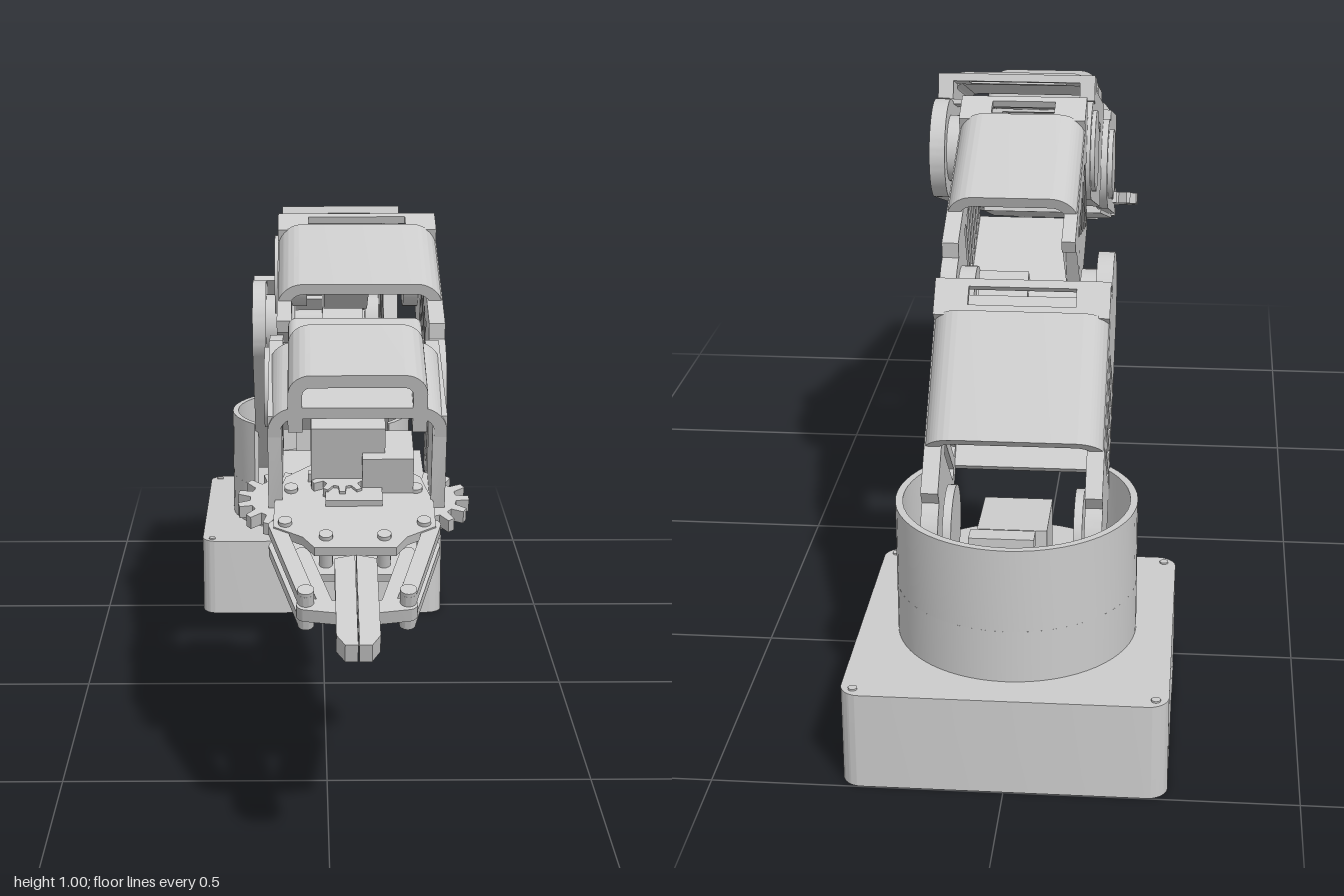
import * as THREE from 'three';
import { toCreasedNormals } from 'three/addons/utils/BufferGeometryUtils.js';
import { RoundedBoxGeometry } from 'three/addons/geometries/RoundedBoxGeometry.js';

const grey = new THREE.MeshStandardMaterial({ color: 0xcccccc, side: THREE.DoubleSide });
const PI = Math.PI, R = 0.097, L = 0.43;

function add(parent, name, geo, x = 0, y = 0, z = 0) {
  const m = new THREE.Mesh(geo, grey);
  m.name = name;
  m.position.set(x, y, z);
  parent.add(m);
  return m;
}
// box given by its bounds
const box = (p, name, x0, x1, y0, y1, z0, z1) => add(p, name,
  new THREE.BoxGeometry(x1 - x0, y1 - y0, z1 - z0), (x0 + x1) / 2, (y0 + y1) / 2, (z0 + z1) / 2);
// disc whose axis runs along x
const disc = (p, name, r, x0, x1, y, z) => add(p, name,
  new THREE.CylinderGeometry(r, r, x1 - x0, 40).rotateZ(PI / 2), (x0 + x1) / 2, y, z);
const poly = pts => new THREE.Shape(pts.map(q => new THREE.Vector2(...q)));
const hole = (x0, x1, y0, y1) => poly([[x0, y0], [x0, y1], [x1, y1], [x1, y0]]);
const extrude = (shape, depth) => toCreasedNormals(
  new THREE.ExtrudeGeometry(shape, { depth, bevelEnabled: false, curveSegments: 20 }), 0.5);
// side plate: shape in (z, y), thickness along x from x0 to x1
const side = (p, name, shape, x0, x1) =>
  add(p, name, extrude(shape, x1 - x0).rotateY(-PI / 2), x1);
// flat plate: shape in (x, z), thickness along y from y0 to y1
const flat = (p, name, shape, y0, y1) =>
  add(p, name, extrude(shape, y1 - y0).rotateX(PI / 2), 0, y1);

// arch profile in (x, y) with rounded upper corners
function arch(x0, x1, y0, y1, t, r) {
  const s = new THREE.Shape(), i = r - t;
  s.moveTo(x1, y0);
  s.lineTo(x1, y1 - r);
  s.absarc(x1 - r, y1 - r, r, 0, PI / 2, false);
  s.absarc(x0 + r, y1 - r, r, PI / 2, PI, false);
  s.lineTo(x0, y0);
  s.lineTo(x0 + t, y0);
  s.absarc(x0 + r, y1 - r, i, PI, PI / 2, true);
  s.absarc(x1 - r, y1 - r, i, PI / 2, 0, true);
  s.lineTo(x1 - t, y0);
  return s;
}

// side wall from the closed joint (z = 0) to the open joint (z = L), round where it carries a joint
function wallShape(roundA, roundB) {
  const s = new THREE.Shape();
  s.moveTo(0.03, 0.125);
  if (roundA) {
    s.lineTo(0.03, 0.092);
    s.absarc(0, 0, R, 1.26, PI * 1.5, false);
  } else [[0.03, 0.1], [0.11, 0.03], [0.11, -R]].forEach(q => s.lineTo(...q));
  if (roundB) {
    s.lineTo(L, -R);
    s.absarc(L, 0, R, -PI / 2, 1.7, false);
    s.lineTo(L - 0.02, 0.125);
  } else [[L - 0.11, -R], [L - 0.11, 0.03], [L - 0.03, 0.1], [L - 0.03, 0.125]].forEach(q => s.lineTo(...q));
  for (let i = 0; i < 5; i++) {
    const u = 0.225 + (i - 2) * 0.043;
    s.holes.push(hole(u - 0.011, u + 0.011, -0.07, 0.075));
  }
  return s;
}

// one arm link: two slotted walls, rounded cover, recessed slot and bottom plate
function armLink(name, joint, pitch, flip, wallA, wallB) {
  const g = new THREE.Group();
  g.name = name;
  g.position.set(0, ...joint);
  g.rotation.set(-pitch, flip ? PI : 0, 0);
  const walls = [wallA, wallB].map(([x0, x1, a, b]) => (flip ? [-x1, -x0, a, b] : [x0, x1, a, b]));
  walls.forEach(([x0, x1, a, b]) => side(g, 'sideWall', wallShape(a, b), x0, x1));
  const x0 = Math.min(walls[0][0], walls[1][0]), x1 = Math.max(walls[0][1], walls[1][1]);
  add(g, 'cover', extrude(arch(x0, x1, 0.08, 0.16, 0.022, 0.05), 0.24), 0, 0, 0.085);
  const lip = poly([[x0 + 0.03, 0.02], [x1 - 0.03, 0.02], [x1 - 0.03, 0.09], [x0 + 0.03, 0.09]]);
  lip.holes.push(hole(x0 + 0.06, x1 - 0.06, 0.035, 0.07));
  flat(g, 'slottedLip', lip, 0.135, 0.15);
  box(g, 'slotFloor', x0 + 0.03, x1 - 0.03, 0.09, 0.1, 0.03, 0.1);
  [x0, x1 - 0.03].forEach(x => box(g, 'coverEar', x, x + 0.03, 0.1, 0.15, 0.02, 0.09));
  box(g, 'bottomPlate', x0 + 0.02, x1 - 0.02, -R, -0.08, 0.11, 0.29);
  return g;
}

function gear(r, teeth) {
  const pts = [];
  for (let i = 0; i < teeth; i++) {
    [[-0.3, 0.72], [-0.16, 1], [0.16, 1], [0.3, 0.72]].forEach(([o, k]) => {
      const a = (i + o) / teeth * 2 * PI;
      pts.push([Math.cos(a) * r * k, Math.sin(a) * r * k]);
    });
  }
  return poly(pts);
}

// flat bar with round ends between two points in (x, z)
function bar(p, name, a, b, w, y0, y1) {
  const s = new THREE.Shape(), t = Math.atan2(b[1] - a[1], b[0] - a[0]);
  s.absarc(b[0], b[1], w, t - PI / 2, t + PI / 2, false);
  s.absarc(a[0], a[1], w, t + PI / 2, t + PI * 1.5, false);
  return flat(p, name, s, y0, y1);
}

function wrist(joint, pitch) {
  const g = new THREE.Group();
  g.name = 'wrist';
  g.position.set(0, ...joint);
  g.rotation.x = -pitch;
  // side walls: the right one wraps the joint, the left one starts past it
  [[-0.105, -0.08, true], [0.18, 0.205, false]].forEach(([x0, x1, round]) => {
    const s = new THREE.Shape();
    s.moveTo(0.3, 0.13);
    s.lineTo(0.03, 0.12);
    if (round) s.absarc(0, 0, R, 1.3, PI * 1.5, false);
    else { s.lineTo(0.03, 0.1); s.lineTo(0.1, 0.03); s.lineTo(0.1, -R); }
    s.lineTo(0.32, -R);
    s.lineTo(0.32, -0.03);
    [0.14, 0.19].forEach(u => s.holes.push(hole(u - 0.012, u + 0.012, -0.07, 0.075)));
    side(g, 'wristWall', s, x0, x1);
  });
  disc(g, 'jointCap', 0.075, -0.115, -0.1, 0, 0);
  add(g, 'wristCover', extrude(arch(-0.105, 0.205, 0.08, 0.15, 0.022, 0.05), 0.22), 0, 0, 0.085);
  add(g, 'hood', extrude(arch(-0.07, 0.17, 0.1, 0.215, 0.025, 0.04), 0.17), 0, 0, 0.135);
  box(g, 'hoodBack', -0.05, 0.15, 0.12, 0.2, 0.135, 0.15);
  add(g, 'rearHump', new RoundedBoxGeometry(0.24, 0.06, 0.09, 3, 0.015), 0.05, 0.155, 0.095);
  box(g, 'gripperServo', -0.03, 0.1, -0.05, 0.09, 0.2, 0.28);
  box(g, 'servoMount', 0.06, 0.15, -0.05, 0.04, 0.21, 0.3);

  // gripper plates, built symmetric about its own centre line
  const h = new THREE.Group();
  h.name = 'gripper';
  h.position.x = 0.045;
  g.add(h);
  const half = [[0.06, 0.2], [0.12, 0.25], [0.14, 0.33], [0.14, 0.4], [0.09, 0.43], [0.07, 0.46]];
  const outline = poly([...half, ...half.map(([x, z]) => [-x, z]).reverse()]);
  flat(h, 'topPlate', outline, -0.05, -0.032);
  flat(h, 'bottomPlate', poly([[-0.13, 0.08], [0.13, 0.08], [0.14, 0.4], [0.07, 0.46], [-0.07, 0.46], [-0.14, 0.4]]), -0.105, -0.09);
  const drive = flat(h, 'driveGear', gear(0.06, 12), -0.032, -0.015);
  drive.position.set(-0.02, -0.015, 0.26);
  box(h, 'servoHorn', -0.05, 0.05, -0.032, -0.02, 0.3, 0.34);
  [-1, 1].forEach(m => {
    flat(h, 'fingerGear', gear(0.08, 13), -0.075, -0.05).position.set(m * 0.125, -0.05, 0.29);
    bar(h, 'outerLink', [m * 0.135, 0.39], [m * 0.085, 0.58], 0.014, -0.055, -0.035);
    bar(h, 'outerLinkLower', [m * 0.135, 0.39], [m * 0.085, 0.58], 0.014, -0.1, -0.08);
    bar(h, 'innerLink', [m * 0.09, 0.44], [m * 0.05, 0.59], 0.012, -0.08, -0.055);
    bar(h, 'fingerBracket', [m * 0.085, 0.585], [m * 0.02, 0.595], 0.016, -0.08, -0.055);
    add(h, 'linkPin', new THREE.CylinderGeometry(0.014, 0.014, 0.075, 16), m * 0.085, -0.066, 0.58);
    flat(h, 'finger', poly([[m * 0.001, 0.47], [m * 0.036, 0.48], [m * 0.036, 0.685], [m * 0.022, 0.71], [m * 0.001, 0.71]]), -0.075, -0.04);
    [[0.11, 0.29], [0.12, 0.39], [0.05, 0.43], [0.06, 0.23]].forEach(([x, z]) =>
      add(h, 'screw', new THREE.CylinderGeometry(0.012, 0.012, 0.075, 16), m * x, -0.062, z));
  });
  return g;
}

export function createModel() {
  const root = new THREE.Group();
  root.name = 'robotArm';
  const d = PI / 180, p1 = 47.5 * d, p2 = 25 * d, p3 = -19 * d;
  const step = ([y, z], p, s) => [y + s * L * Math.sin(p), z + s * L * Math.cos(p)];
  const elbow = [0.868, -0.065];
  const hand = step(elbow, p3, 1), knee = step(elbow, p2, -1), hip = step(knee, p1, -1);

  // base
  const c = -0.722, b = 0.277, r = 0.035, plan = new THREE.Shape();
  [[1, 1], [-1, 1], [-1, -1], [1, -1]].forEach(([x, z], i) =>
    plan.absarc(x * (b - r), z * (b - r), r, i * PI / 2, (i + 1) * PI / 2, false));
  flat(root, 'base', plan, 0, 0.175).position.z = c;
  box(root, 'port', -0.279, -0.27, 0.06, 0.09, c - 0.03, c + 0.03);
  [-1, 1].forEach(x => [-1, 1].forEach(z =>
    add(root, 'baseScrew', new THREE.CylinderGeometry(0.008, 0.008, 0.004, 12), x * 0.255, 0.176, c + z * 0.255)));

  // turret with a wall left open at the front
  add(root, 'turretFloor', new THREE.CylinderGeometry(0.212, 0.212, 0.095, 64), 0, 0.2225, c);
  const ring = new THREE.Shape();
  ring.absarc(0, 0, 0.212, 138 * d, 402 * d, false);
  ring.absarc(0, 0, 0.199, 402 * d, 138 * d, true);
  flat(root, 'turretWall', ring, 0.27, 0.42).position.z = c;
  box(root, 'turretServo', -0.06, 0.06, 0.27, 0.4, c - 0.09, c + 0.04);
  box(root, 'cableClip', -0.045, 0.065, 0.4, 0.425, -0.9, -0.865);
  [-0.12, 0.105].forEach(x => disc(root, 'hipDisc', 0.075, x, x + 0.015, ...hip));

  // arm links: walls are [x0, x1, round at closed joint, round at open joint]
  root.add(armLink('lowerLink', knee, p1, true, [-0.155, -0.125, true, true], [0.125, 0.155, false, true]));
  root.add(armLink('middleLink', elbow, p2, true, [-0.085, -0.06, false, false], [0.125, 0.155, false, true]));
  root.add(armLink('upperLink', elbow, p3, false, [-0.092, -0.065, true, false], [0.19, 0.22, true, true]));
  root.add(wrist(hand, p3));

  // joint servos and axles
  [[knee, p1, -0.125, 0.125], [elbow, p2, -0.065, 0.19], [hand, p3, -0.08, 0.19]].forEach(([j, p, x0, x1], i) => {
    disc(root, 'axle', 0.03, x0, x1, ...j);
    disc(root, 'servoDisc', 0.065, x0, x0 + 0.03, ...j);
    disc(root, 'servoDisc', 0.065, x1 - 0.03, x1, ...j);
    const s = new THREE.Group();
    s.name = 'jointServo';
    s.position.set(0, ...j);
    s.rotation.x = -p;
    const f = i < 2 ? -1 : 1;
    box(s, 'servoBody', 0, 0.09, -0.05, 0.05, Math.min(-0.04 * f, 0.09 * f), Math.max(-0.04 * f, 0.09 * f));
    root.add(s);
  });
  disc(root, 'elbowCap', 0.08, -0.1, -0.09, ...elbow);
  return root;
}
